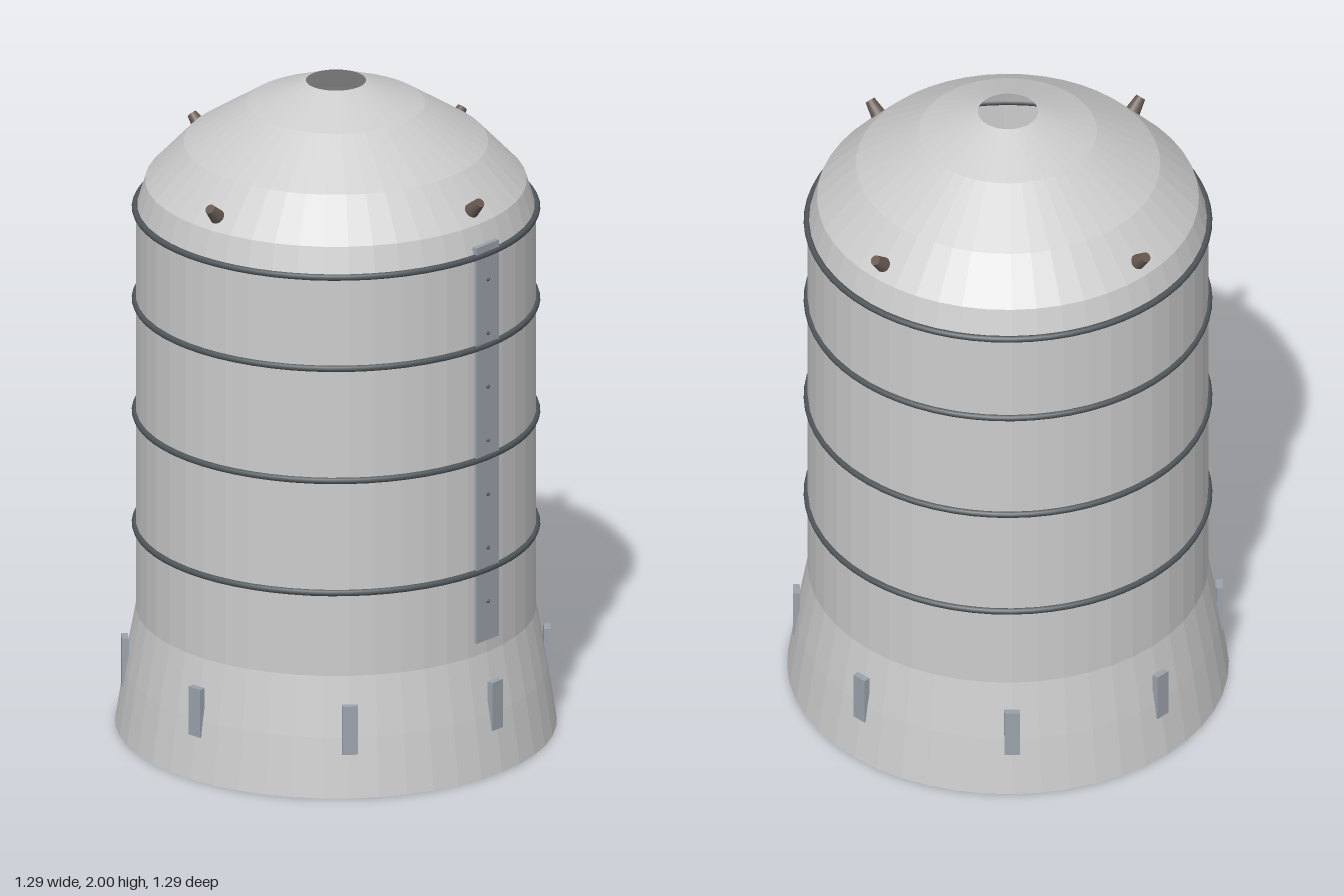
import * as THREE from 'three';

const mat = (color, extra = {}) => new THREE.MeshStandardMaterial({ color, ...extra });
const shellGrey = mat(0xcccccc, { flatShading: true, side: THREE.DoubleSide });
const partGrey = mat(0x9aa2aa);
const bandDark = mat(0x50565a);
const brown = mat(0x665850, { side: THREE.DoubleSide });

export function createModel() {
  const model = new THREE.Group();

  const add = (name, geometry, material, x = 0, y = 0, z = 0, parent = model) => {
    const mesh = new THREE.Mesh(geometry, material);
    mesh.name = name;
    mesh.position.set(x, y, z);
    parent.add(mesh);
    return mesh;
  };
  const lathe = (points, sides) =>
    new THREE.LatheGeometry(points.map(([r, y]) => new THREE.Vector2(r, y)), sides);
  const ring = (radius, tube) => new THREE.TorusGeometry(radius, tube, 8, 64).rotateX(Math.PI / 2);
  // Holder turned about the vertical axis, so its +x points outward
  const spoke = (name, angle) => {
    const group = new THREE.Group();
    group.name = name;
    group.rotation.y = angle;
    model.add(group);
    return group;
  };

  // Thin open shell: flared skirt, straight wall, dome with a hole on top
  add('skirt', lathe([[0.645, 0], [0.618, 0.18], [0.585, 0.36]], 48), shellGrey);
  add('wall', lathe([[0.585, 0.36], [0.585, 1.6]], 48), shellGrey);
  add('dome', lathe([[0.585, 1.6], [0.558, 1.69], [0.445, 1.81], [0.26, 1.93], [0.088, 2]], 48), shellGrey);

  // Hoops round the wall
  for (const y of [0.62, 0.97, 1.32, 1.605]) add('hoop', ring(0.587, 0.01), bandDark, 0, y);

  // Cable tray with rivets on the left side
  add('cableTray', new THREE.BoxGeometry(0.016, 1.235, 0.1), partGrey, 0.582, 1.0175, 0);
  for (let i = 0; i < 7; i++) {
    add('rivet', new THREE.SphereGeometry(0.006, 8, 6), bandDark, 0.59, 0.52 + i * 0.1675, 0);
  }

  // Brackets round the skirt
  for (let i = 0; i < 8; i++) {
    const holder = spoke('skirtBracket', (i * Math.PI) / 4);
    add('bracket', new THREE.BoxGeometry(0.02, 0.15, 0.046), partGrey, 0.618, 0.205, 0, holder);
  }

  // Small thrusters leaning out of the dome
  for (let i = 0; i < 4; i++) {
    const holder = spoke('domeThruster', (i * Math.PI) / 2);
    const cone = add('thruster', new THREE.CylinderGeometry(0.015, 0.025, 0.06, 16), brown, 0.538, 1.735, 0, holder);
    cone.rotation.z = -Math.PI / 4;
  }

  // Engine bell inside the skirt, open at both ends
  add('engineBell', lathe([[0.385, 0.01], [0.26, 0.19], [0.155, 0.35], [0.1, 0.45]], 48), brown);
  add('engineBellRim', ring(0.385, 0.01), bandDark, 0, 0.011);

  return model;
}
